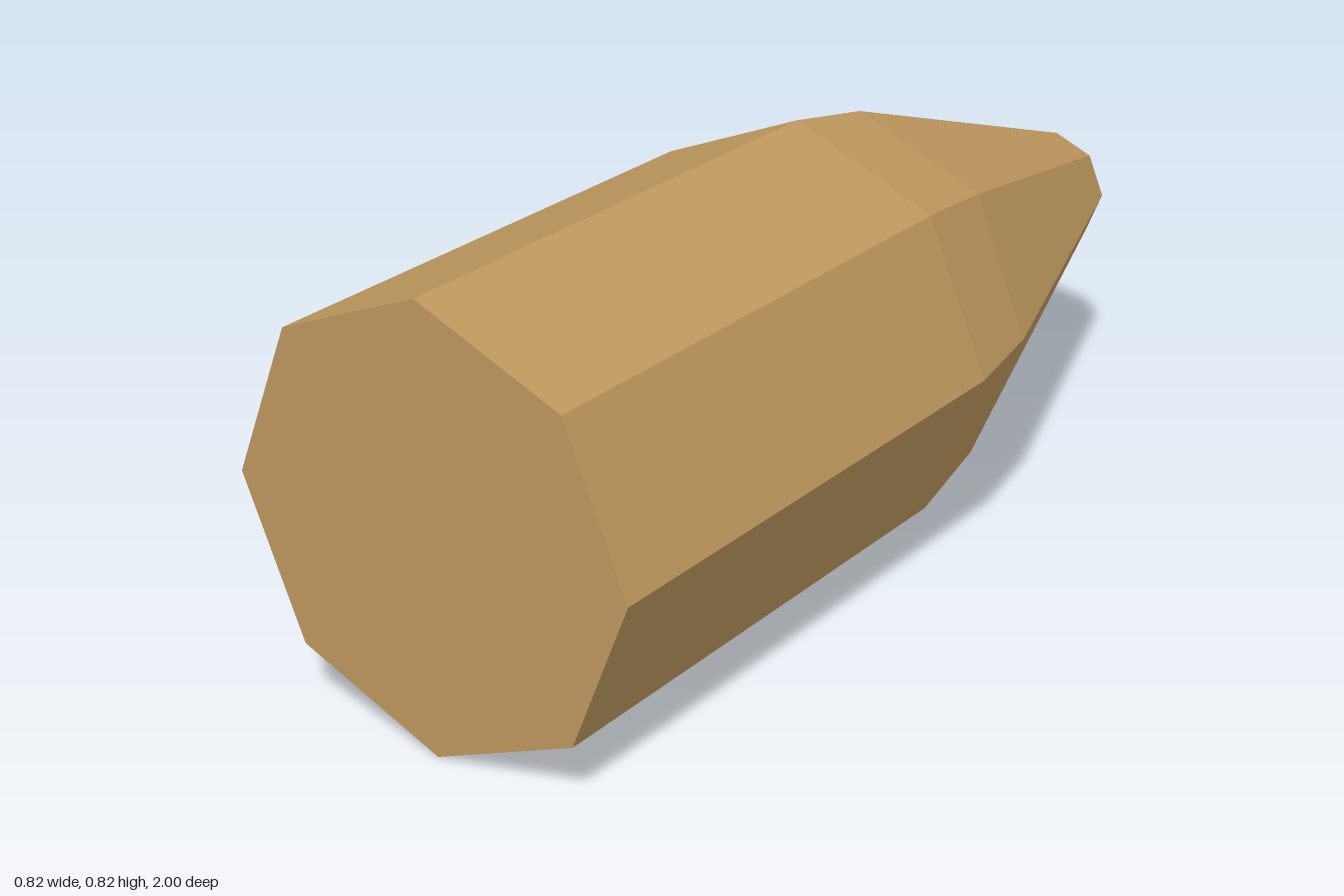
import * as THREE from 'three';

const SIDES = 8;
const RADIUS = 0.408;

// Faceted body of revolution running along z; profile is [radius, z] from base to tip
function facetedLathe(profile) {
  const points = profile.map(([r, z]) => new THREE.Vector2(r, -z));
  const lathe = new THREE.LatheGeometry(points, SIDES);
  lathe.rotateX(-Math.PI / 2);
  const geometry = lathe.toNonIndexed();
  geometry.computeVertexNormals();
  return geometry;
}

export function createModel() {
  const brass = new THREE.MeshStandardMaterial({ color: 0xbe985e, flatShading: true });
  brass.name = 'brass';

  const group = new THREE.Group();
  group.name = 'bullet';

  const parts = {
    // flat octagonal end
    base: [[0, 1], [RADIUS, 1]],
    // straight casing
    casing: [[RADIUS, 1], [0.406, -0.02]],
    // shoulder bend, then long taper
    nose: [[0.406, -0.02], [0.367, -0.22], [0.113, -0.95]],
    // blunt pointed cap
    tip: [[0.113, -0.95], [0, -1]],
  };

  for (const [name, profile] of Object.entries(parts)) {
    const mesh = new THREE.Mesh(facetedLathe(profile), brass);
    mesh.name = name;
    mesh.position.y = RADIUS;
    group.add(mesh);
  }
  return group;
}
